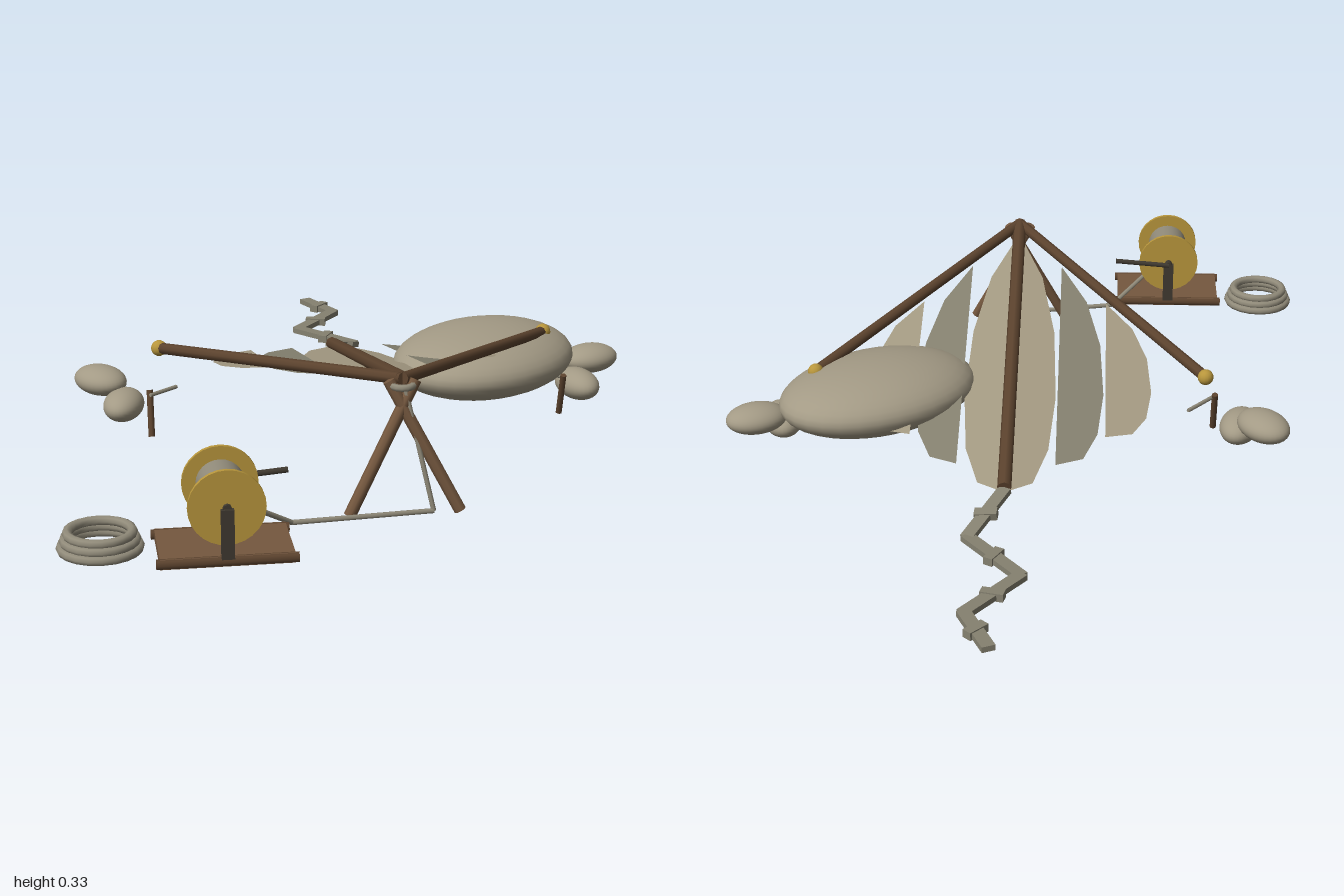
import * as THREE from 'three';

const V = (a) => new THREE.Vector3(...a);

export function createModel() {
  const root = new THREE.Group();
  root.name = 'kiteAndWinch';
  const mat = (name, color, side = THREE.FrontSide) => {
    const m = new THREE.MeshStandardMaterial({ color, side });
    m.name = name;
    return m;
  };
  const wood = mat('brown wood', 0x5c432e);
  const plank = mat('plank wood', 0x75583f);
  const dark = mat('dark iron', 0x3f3930);
  const brass = mat('brass', 0xb8963c);
  const linen = mat('linen', 0xa49a82, THREE.DoubleSide);
  const greyCloth = mat('grey cloth', 0x858170, THREE.DoubleSide);
  const stone = mat('sand', 0xa39a85);
  const rope = mat('rope', 0x918b7a);

  const add = (name, geo, material, pos = [0, 0, 0], rot = [0, 0, 0]) => {
    const m = new THREE.Mesh(geo, material);
    m.name = name;
    m.position.set(...pos);
    m.rotation.set(...rot);
    root.add(m);
    return m;
  };
  // round bar between two points
  const rod = (name, a, b, r, material, sides = 8) => {
    const p = V(a), q = V(b), d = q.clone().sub(p);
    const m = add(name, new THREE.CylinderGeometry(r, r, d.length(), sides), material);
    m.position.copy(p).add(q).multiplyScalar(0.5);
    m.quaternion.setFromUnitVectors(new THREE.Vector3(0, 1, 0), d.normalize());
    return m;
  };
  const egg = (name, pos, size, rot) => {
    const g = new THREE.SphereGeometry(1, 32, 20);
    g.scale(...size);
    return add(name, g, stone, pos, rot);
  };

  // Kite frame: spine, two spars, tip knobs and apex lashing
  const cx = 0.03;
  const apex = [cx, 0.32, 0.695];
  rod('spine', apex, [cx, 0.08, -0.38], 0.017, wood);
  for (const s of [-1, 1]) {
    const tip = [cx + s * 0.49, 0.2, -0.01];
    rod('spar', apex, tip, 0.014, wood);
    add('sparKnob', new THREE.SphereGeometry(0.02, 14, 10), brass, tip);
    rod('standLeg', [cx - s * 0.03, 0.315, 0.69], [cx + s * 0.125, 0.02, 0.74], 0.014, plank);
  }
  add('apexLashing', new THREE.TorusGeometry(0.024, 0.008, 6, 14), rope, [cx, 0.305, 0.695], [Math.PI / 2, 0, 0]);

  // Sail strips: straight inner edge, bowed outer edge
  const bow = [[0, 0], [0.04, 0.58], [0.16, 0.88], [0.35, 1], [0.6, 0.92], [0.82, 0.6], [1, 0]];
  const strips = [[0, -0.385, 0.66], [0.12, -0.295, 0.5], [0.24, -0.2, 0.33]];
  for (const s of [-1, 1]) {
    strips.forEach(([off, z0, z1], i) => {
      const shape = new THREE.Shape(bow.map(([t, w]) => new THREE.Vector2(w * 0.115, z0 + t * (z1 - z0))));
      const g = new THREE.ShapeGeometry(shape);
      const p = g.attributes.position;
      for (let k = 0; k < p.count; k++) {
        const w = p.getX(k), z = p.getY(k);
        p.setXYZ(k, cx + s * (off + w), 0.156 + 0.222 * z + 0.06 * off - 0.1 * w, z);
      }
      g.computeVertexNormals();
      add('sailStrip', g, i === 1 ? greyCloth : linen);
    });
  }

  // Zigzag tail with a bow on every segment
  const tail = [[0.03, 0.075, -0.385], [0.11, 0.03, -0.53], [-0.02, 0.028, -0.695], [0.1, 0.028, -0.855], [0.04, 0.028, -0.99]];
  for (let i = 0; i < tail.length - 1; i++) {
    const a = V(tail[i]), b = V(tail[i + 1]);
    const seg = new THREE.Group();
    seg.name = 'tailSegment';
    const ribbon = new THREE.Mesh(new THREE.BoxGeometry(0.032, 0.014, a.distanceTo(b) + 0.01), greyCloth);
    ribbon.name = 'tailRibbon';
    const knot = new THREE.Mesh(new THREE.BoxGeometry(0.055, 0.02, 0.024), greyCloth);
    knot.name = 'tailBow';
    knot.rotation.y = 0.4;
    seg.add(ribbon, knot);
    seg.position.copy(a).add(b).multiplyScalar(0.5);
    seg.lookAt(b);
    root.add(seg);
  }

  // Large weight under one wing, small weights and pegs beside both tips
  egg('largeSandbag', [0.365, 0.142, 0], [0.264, 0.085, 0.194], [0.06, 0.61, -0.03]);
  for (const s of [-1, 1]) {
    egg('upperSandbag', [cx + s * 0.635, 0.102, -0.08], [0.078, 0.037, 0.057], [0, s > 0 ? 0.4 : -0.95, 0]);
    egg('lowerSandbag', [cx + s * 0.582, 0.06, 0], [0.05, 0.039, 0.077], [0, s * 0.25, 0]);
    const px = cx + s * 0.52;
    rod('peg', [px, 0.005, 0.08 - s * 0.018], [px, 0.115, 0.08 + s * 0.018], 0.008, wood);
    rod('pegCord', [px, 0.105, 0.075], [px - s * 0.07, 0.1, 0], 0.005, rope, 6);
  }

  // Winch base, rails, spool and crank
  const wx = -0.39, wy = 0.15, wz = 0.905;
  add('winchBase', new THREE.BoxGeometry(0.285, 0.022, 0.18), plank, [wx, 0.034, wz]);
  for (const s of [-1, 1]) {
    const z = wz + s * 0.085;
    rod('baseRail', [wx - 0.15, 0.034, z], [wx + 0.15, 0.034, z], 0.012, wood);
    add('spoolPost', new THREE.BoxGeometry(0.028, 0.11, 0.012), dark, [wx, 0.095, wz + s * 0.09]);
    add('spoolFlange', new THREE.CylinderGeometry(0.083, 0.083, 0.01, 28), brass, [wx, wy, wz + s * 0.076], [Math.PI / 2, 0, 0]);
  }
  rod('spoolDrum', [wx, wy, wz - 0.072], [wx, wy, wz + 0.072], 0.053, rope, 24);
  rod('spoolAxle', [wx, wy, wz - 0.1], [wx, wy, wz + 0.09], 0.01, dark);
  rod('crank', [wx, wy, wz - 0.098], [wx + 0.15, 0.162, wz - 0.098], 0.007, dark);

  // Line from spool along the ground and up to the kite
  const line = [[-0.34, 0.11, 0.87], [-0.23, 0.032, 0.79], [0.095, 0.022, 0.74], [0.035, 0.3, 0.7]];
  for (let i = 0; i < 3; i++) rod('kiteLine', line[i], line[i + 1], 0.006, rope, 6);

  // Spare rope coil
  for (let i = 0; i < 3; i++) {
    add('ropeCoil', new THREE.TorusGeometry(0.084 - i * 0.007, 0.011, 8, 20), rope, [-0.65, 0.028 + i * 0.016, 0.855], [Math.PI / 2, 0, 0]);
  }
  return root;
}
